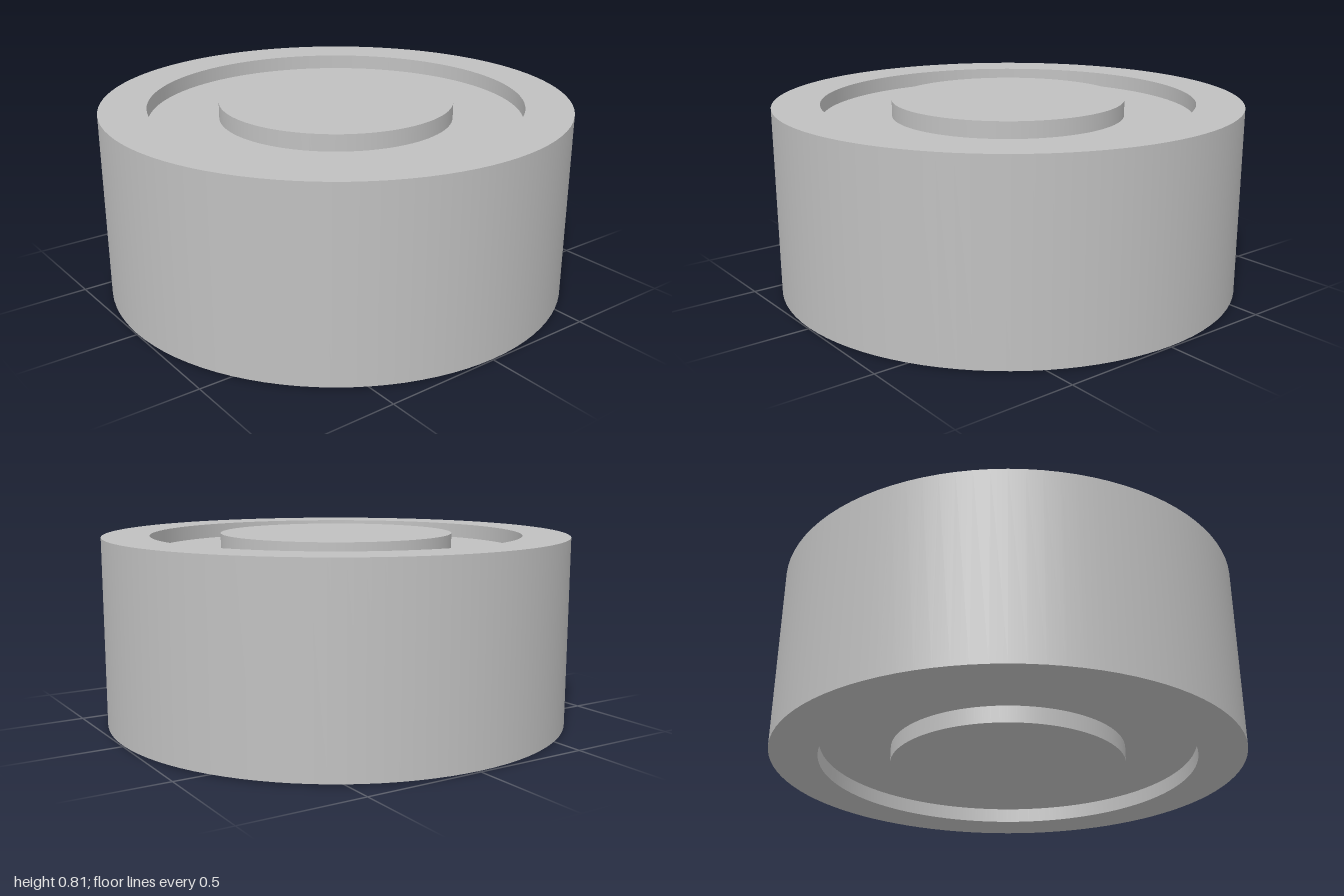
import * as THREE from 'three';
import { mergeGeometries } from 'three/addons/utils/BufferGeometryUtils.js';

const SEGMENTS = 96;

// Revolve a counterclockwise [radius, y] profile, keeping every corner sharp
function turned(profile) {
  const bands = [];
  for (let i = 0; i < profile.length - 1; i++) {
    const ends = [profile[i], profile[i + 1]].map(([r, y]) => new THREE.Vector2(r, y));
    bands.push(new THREE.LatheGeometry(ends, SEGMENTS));
  }
  return mergeGeometries(bands);
}

export function createModel() {
  const group = new THREE.Group();
  group.name = 'bearing';

  const steel = new THREE.MeshStandardMaterial({ color: 0xc0c0c0 });
  steel.name = 'steel grey';

  const add = (name, geometry) => {
    const mesh = new THREE.Mesh(geometry, steel);
    mesh.name = name;
    group.add(mesh);
  };

  // Outer ring, slightly lower than the hub
  add('outerRing', turned([[0.8, 0.005], [1, 0.005], [1, 0.805], [0.8, 0.805], [0.8, 0.005]]));

  // Recessed web between ring and hub, on both sides
  add('recessedWeb', turned([[0.5, 0.07], [0.8, 0.07], [0.8, 0.74], [0.5, 0.74]]));

  // Solid central hub running the full height
  add('hub', turned([[0, 0], [0.5, 0], [0.5, 0.81], [0, 0.81]]));

  return group;
}
